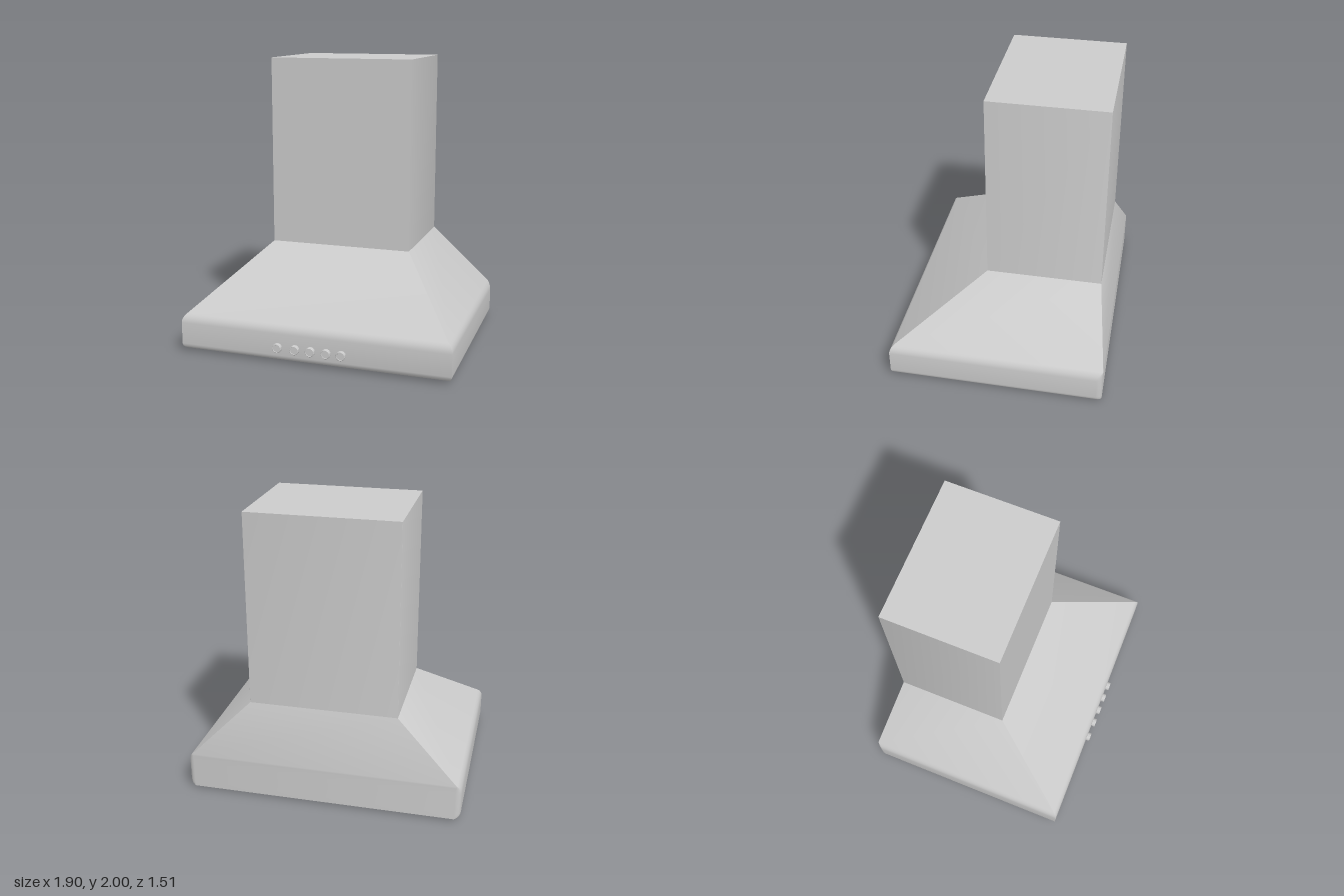
import * as THREE from 'three';
import { mergeGeometries, toCreasedNormals } from 'three/addons/utils/BufferGeometryUtils.js';

const metal = new THREE.MeshStandardMaterial({ color: 0xcccccc, side: THREE.DoubleSide });

function add(group, name, geometry, x = 0, y = 0, z = 0) {
  const mesh = new THREE.Mesh(geometry, metal);
  mesh.name = name;
  mesh.position.set(x, y, z);
  group.add(mesh);
  return mesh;
}

// Horizontal section: square front corners, back corners rounded by r
function section({ y, hw, zf, zb, r }) {
  const right = [[hw, y, zf]];
  const steps = 4;
  for (let i = 0; i <= steps; i++) {
    const a = (i / steps) * Math.PI / 2;
    right.push([hw - r + r * Math.cos(a), y, zb + r - r * Math.sin(a)]);
  }
  return [...right, ...right.map(([x, py, z]) => [-x, py, z]).reverse()];
}

// Walls through a stack of sections, open at both ends
function loft(sections) {
  const rings = sections.map(section);
  const n = rings[0].length;
  const index = [];
  for (let k = 0; k < rings.length - 1; k++) {
    for (let i = 0; i < n; i++) {
      const a = k * n + i, b = k * n + (i + 1) % n;
      index.push(a, b, b + n, a, b + n, a + n);
    }
  }
  const g = new THREE.BufferGeometry();
  g.setAttribute('position', new THREE.Float32BufferAttribute(rings.flat(2), 3));
  g.setIndex(index);
  return toCreasedNormals(g, 0.6);
}

function rectangle(x0, x1, z0, z1, Type = THREE.Shape) {
  const s = new Type();
  s.moveTo(x0, z0);
  s.lineTo(x1, z0);
  s.lineTo(x1, z1);
  s.lineTo(x0, z1);
  s.closePath();
  return s;
}

// Flat frame lying in the xz plane, with its upper face at y = 0
function frame(outer, inner, depth) {
  const s = rectangle(...outer);
  s.holes.push(rectangle(...inner, THREE.Path));
  return new THREE.ExtrudeGeometry(s, { depth, bevelEnabled: false }).rotateX(Math.PI / 2);
}

// Diagonal lattice clipped to a rectangle
function lattice(x0, x1, z0, z1, step, width) {
  const bars = [];
  for (const dir of [1, -1]) {
    for (let c = step / 2; c < x1 - x0 + z1 - z0; c += step) {
      // Line u + v = c inside the rectangle
      const u0 = Math.max(0, c - (z1 - z0)), u1 = Math.min(x1 - x0, c);
      const length = (u1 - u0) * Math.SQRT2;
      if (length < 0.01) continue;
      const u = (u0 + u1) / 2, v = c - u;
      const bar = new THREE.BoxGeometry(length, 0.006, width);
      bar.rotateY(dir * Math.PI / 4);
      bar.translate(dir > 0 ? x0 + u : x1 - u, 0, z0 + v);
      bars.push(bar);
    }
  }
  return mergeGeometries(bars);
}

export function createModel() {
  const hood = new THREE.Group();
  hood.name = 'rangeHood';

  // Canopy: rounded lower edge, upright rim, rounded shoulder, slope to the flue
  const rim = (inset, y, r) => ({ y, hw: 0.95 - inset, zf: 0.73 - inset, zb: -0.75, r });
  const sections = [];
  for (let i = 0; i <= 4; i++) {
    const a = (i / 4) * Math.PI / 2;
    sections.push(rim(0.04 * (1 - Math.sin(a)), 0.055 - 0.04 * Math.cos(a), 0.003 + 0.037 * Math.sin(a)));
  }
  for (let i = 0; i <= 4; i++) {
    const t = i / 4, a = t * 0.87;
    sections.push(rim(0.08 * (1 - Math.cos(a)), 0.205 + 0.08 * Math.sin(a), 0.04 - 0.037 * t * t));
  }
  const flue = { hw: 0.505, zf: 0.12, zb: -0.67, r: 0.001 };
  sections.push({ ...flue, y: 0.68 });
  add(hood, 'canopy', loft(sections));

  // Chimney flue with a closed top
  add(hood, 'chimney', loft([{ ...flue, y: 0.68 }, { ...flue, y: 2 }]));
  add(hood, 'chimneyTop', new THREE.PlaneGeometry(1.01, 0.79).rotateX(-Math.PI / 2), 0, 2, -0.275);

  // Underside frame and grease filter
  add(hood, 'undersideFrame', frame([-0.912, 0.912, -0.748, 0.692], [-0.7, 0.7, -0.59, 0.54], 0.014), 0, 0.029, 0);
  add(hood, 'filterMesh', lattice(-0.7, 0.7, -0.59, 0.54, 0.056, 0.013), 0, 0.022, 0);

  // Filter latch: a slim frame with a finger plate inside
  const latch = new THREE.Group();
  latch.name = 'filterLatch';
  add(latch, 'latchFrame', frame([-0.16, 0.16, -0.04, 0.04], [-0.13, 0.13, -0.022, 0.022], 0.02), 0, 0.02, 0);
  add(latch, 'latchPlate', new THREE.BoxGeometry(0.26, 0.006, 0.044), 0, 0.016, 0);
  latch.position.set(0, 0, 0.47);
  hood.add(latch);

  // Control knobs with a raised lip around the face
  const profile = [[0.032, 0], [0.032, 0.023], [0.029, 0.027], [0.025, 0.027], [0.024, 0.024], [0, 0.024]]
    .map(([r, y]) => new THREE.Vector2(r, y));
  const knob = toCreasedNormals(new THREE.LatheGeometry(profile, 28).rotateX(Math.PI / 2), 0.6);
  for (const x of [-0.235, -0.11, 0, 0.11, 0.215]) add(hood, 'knob', knob, x, 0.11, 0.729);

  return hood;
}
